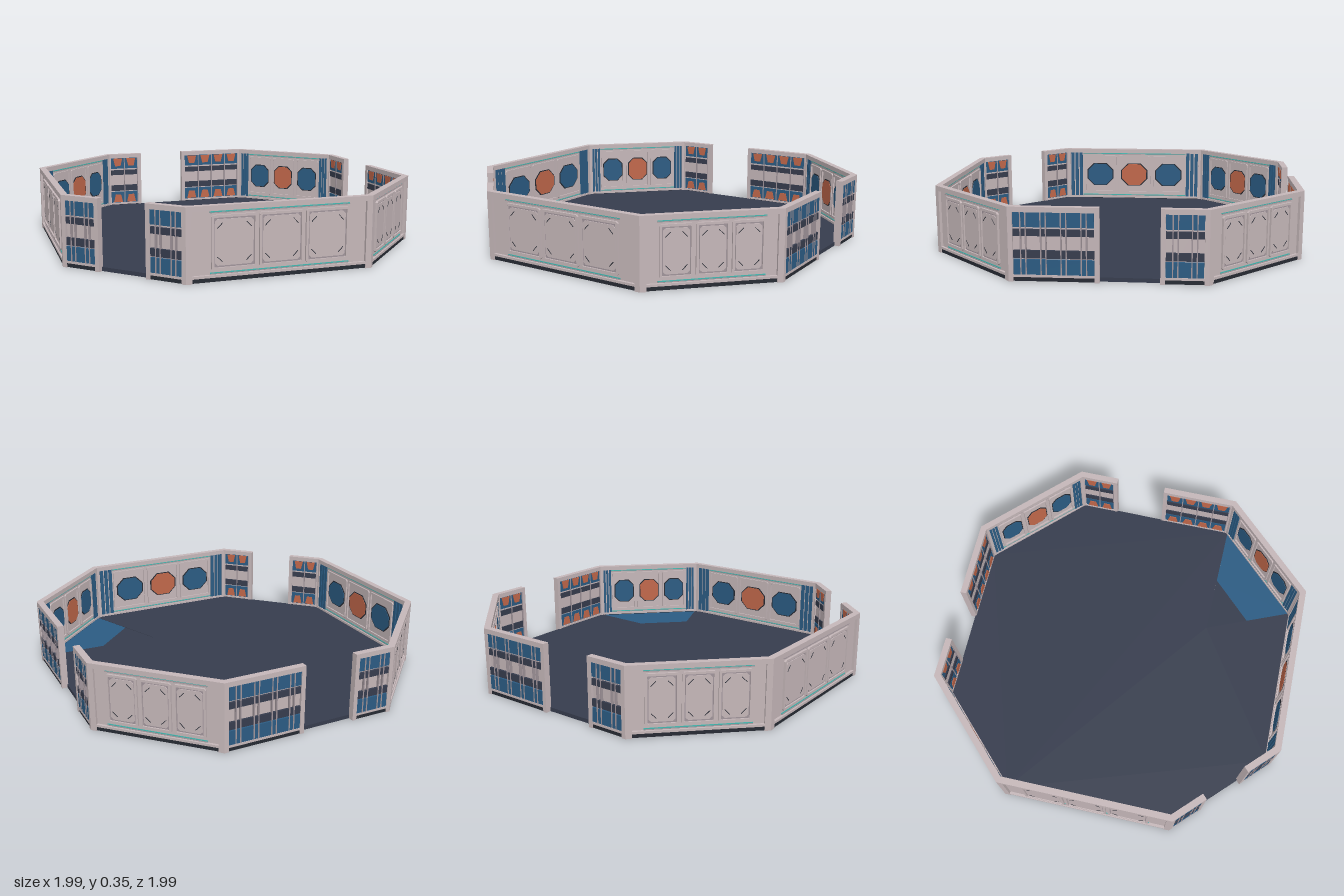
import * as THREE from 'three';

const mat = (name, color, side = THREE.FrontSide) => {
  const m = new THREE.MeshStandardMaterial({ color, side });
  m.name = name;
  return m;
};

export function createModel() {
  const M = {
    body: mat('pale grey', 0xc4b6b8),
    trim: mat('mid grey', 0xa0949a),
    blue: mat('blue', 0x2b5b82, THREE.DoubleSide),
    orange: mat('orange', 0xc0674a, THREE.DoubleSide),
    floor: mat('slate', 0x363c4d, THREE.DoubleSide),
    teal: mat('teal', 0x45b5ae),
    dark: mat('charcoal', 0x262a33),
  };
  const H = 0.355, APO = 0.995, HALF = 0.34;
  const DAPO = (APO + HALF) / Math.SQRT2, DHALF = (APO - HALF) / Math.SQRT2;
  const root = new THREE.Group();
  root.name = 'octagonalArena';

  const add = (g, geo, m, name) => {
    const mesh = new THREE.Mesh(geo, m);
    mesh.name = name;
    g.add(mesh);
    return mesh;
  };
  // box given by its limits on each axis
  const box = (g, m, name, x0, x1, y0, y1, z0, z1) =>
    add(g, new THREE.BoxGeometry(x1 - x0, y1 - y0, z1 - z0), m, name)
      .position.set((x0 + x1) / 2, (y0 + y1) / 2, (z0 + z1) / 2);

  // rectangle with clipped corners
  const clipped = (P, w, h, c) => {
    const a = w / 2, b = h / 2, s = new P();
    [[-a + c, -b], [a - c, -b], [a, -b + c], [a, b - c], [a - c, b], [-a + c, b], [-a, b - c], [-a, -b + c]]
      .forEach(([x, y], i) => (i ? s.lineTo(x, y) : s.moveTo(x, y)));
    s.closePath();
    return s;
  };
  const plate = (g, m, name, x, y, z, w, h, c, depth, rim = 0) => {
    const s = clipped(THREE.Shape, w, h, c);
    if (rim) s.holes.push(clipped(THREE.Path, w - 2 * rim, h - 2 * rim, Math.max(c - rim * 0.5, 0.001)));
    add(g, new THREE.ExtrudeGeometry(s, { depth, bevelEnabled: false }), m, name).position.set(x, y, z);
  };

  // wall shell shared by panelled walls and gate pieces; local +z is outward
  const shell = (g, a, b, post) => {
    box(g, M.body, 'endPost', a, a + post, 0, H, -0.034, 0);
    box(g, M.body, 'endPost', b - post, b, 0, H, -0.034, 0);
    box(g, M.body, 'topRail', a, b, 0.33, H, -0.034, 0);
    box(g, M.body, 'bottomSill', a, b, 0.022, 0.034, -0.034, 0);
    box(g, M.dark, 'baseStrip', a + post, b - post, 0.002, 0.022, -0.03, -0.004);
    box(g, M.body, 'wallCore', a + post, b - post, 0.034, 0.33, -0.024, -0.014);
  };

  const panelWall = (g, half) => {
    shell(g, -half, half, 0.03);
    const pitch = half * 0.5, span = pitch * 1.5;
    for (const y of [0.039, 0.322]) {
      box(g, M.teal, 'lightStrip', -span, span, y, y + 0.005, -0.027, -0.011);
      box(g, M.trim, 'ridge', -span, span, y - 0.003, y, -0.029, -0.007);
    }
    for (let i = -1; i <= 1; i++) {
      const x = i * pitch, w = pitch - 0.012;
      // outer frame and panel
      plate(g, M.body, 'outerFrame', x, 0.182, -0.014, w, 0.255, 0.008, 0.011, 0.012);
      plate(g, M.trim, 'outerGroove', x, 0.182, -0.014, w - 0.022, 0.233, 0.006, 0.003);
      plate(g, M.body, 'outerPanel', x, 0.182, -0.011, w - 0.034, 0.215, 0.012, 0.004);
      // short corner scores
      for (const sx of [-1, 1]) for (const sy of [-1, 1]) {
        const s = add(g, new THREE.BoxGeometry(0.003, 0.035, 0.002), M.dark, 'cornerScore');
        s.position.set(x + sx * (w / 2 - 0.04), 0.182 + sy * 0.078, -0.0065);
        s.rotation.z = sx * sy * Math.PI / 4;
      }
      // inner frame with octagonal plate
      plate(g, M.body, 'innerFrame', x, 0.182, -0.033, w, 0.255, 0.008, 0.009, 0.012);
      plate(g, M.dark, 'octagonRim', x, 0.182, -0.0275, pitch * 0.77, 0.152, pitch * 0.2, 0.004);
      plate(g, i ? M.blue : M.orange, 'octagonPlate', x, 0.182, -0.03, pitch * 0.71, 0.142, pitch * 0.185, 0.004);
    }
    // inner end stripes
    const room = half - 0.03 - span;
    for (const s of [-1, 1]) for (let j = 0; j < 3; j++) {
      const x = s * (span + room * (j + 0.5) / 3);
      box(g, M.blue, 'endStripe', x - room * 0.12, x + room * 0.12, 0.035, 0.33, -0.031, -0.023);
    }
  };

  const gatePiece = (g, a, b) => {
    shell(g, a, b, 0.022);
    const x0 = a + 0.024, x1 = b - 0.024, n = Math.max(2, Math.round((x1 - x0) / 0.085));
    // blue and dark bands on both sides
    for (const [y0, y1, m] of [[0.26, 0.335, M.blue], [0.218, 0.25, M.dark], [0.112, 0.15, M.dark], [0.03, 0.106, M.blue]]) {
      box(g, m === M.dark ? M.floor : m, 'outerBand', x0, x1, y0, y1, -0.016, -0.002);
      box(g, m === M.dark ? M.floor : m, 'innerBand', x0, x1, y0, y1, -0.03, -0.022);
    }
    const step = (x1 - x0) / n;
    for (let i = 0; i < n; i++) {
      const x = x0 + (i + 0.5) * step;
      // ribs
      for (const d of [-0.012, 0.012])
        box(g, M.trim, 'outerRib', x + d - 0.003, x + d + 0.003, 0.034, 0.33, -0.015, 0);
      box(g, M.trim, 'innerRib', x - step / 2 - 0.003, x - step / 2 + 0.003, 0.034, 0.33, -0.033, -0.023);
      // tapered orange blocks along top and bottom
      for (const s of [-1, 1]) {
        const shape = new THREE.Shape();
        const k = step * 0.34;
        [[-k, 0.025], [-k * 0.6, -0.025], [k * 0.6, -0.025], [k, 0.025]]
          .forEach(([px, py], j) => (j ? shape.lineTo(px, py) : shape.moveTo(px, py)));
        const t = add(g, new THREE.ExtrudeGeometry(shape, { depth: 0.006, bevelEnabled: false }), M.orange, 'taperBlock');
        t.position.set(x, 0.182 + s * 0.12, s > 0 ? -0.034 : -0.028);
        if (s < 0) { t.rotation.x = Math.PI; }
      }
    }
  };

  // eight sides, starting at the front and turning towards +x
  const names = ['frontGate', 'frontLeftWall', 'leftWall', 'backLeftGate', 'backWall', 'backRightGate', 'rightWall', 'frontRightWall'];
  names.forEach((name, k) => {
    const g = new THREE.Group(), t = k * Math.PI / 4, diag = k % 2;
    const r = diag ? DAPO : APO;
    g.name = name;
    g.position.set(Math.sin(t) * r, 0, Math.cos(t) * r);
    g.rotation.y = t;
    if (k === 0) {
      gatePiece(g, -HALF, -0.13);
      gatePiece(g, 0.13, HALF);
    } else if (k === 3 || k === 5) {
      gatePiece(g, -DHALF, -0.04);
      gatePiece(g, 0.24, DHALF);
    } else panelWall(g, diag ? DHALF : HALF);
    root.add(g);
  });

  // floor slab with a notch on the +x side
  const A = [0.97, -0.32], B = [0.97, 0.32], C = [0.5, 0.13];
  const slab = new THREE.Shape([[-0.33, -0.97], [0.33, -0.97], A, C, B, [0.33, 0.97], [-0.33, 0.97], [-0.97, 0.32], [-0.97, -0.32]]
    .map(([x, z]) => new THREE.Vector2(x, z)));
  const fg = new THREE.ExtrudeGeometry(slab, { depth: 0.02, bevelEnabled: false });
  fg.rotateX(Math.PI / 2).translate(0, 0.02, 0);
  add(root, fg, M.floor, 'floor');

  // thin sheet closing the notch, its normals turned downward
  const sheet = (pts, y, m, name) => {
    const geo = new THREE.ShapeGeometry(new THREE.Shape(pts.map(([x, z]) => new THREE.Vector2(x, -z))));
    geo.rotateX(-Math.PI / 2).translate(0, y, 0);
    const n = geo.attributes.normal;
    for (let i = 0; i < n.count; i++) n.setXYZ(i, 0, -1, 0);
    add(root, geo, m, name);
  };
  sheet([A, B, [0.73, 0.223], [0.73, -0.09]], 0.018, M.blue, 'notchOuterSheet');
  sheet([[0.73, -0.09], [0.73, 0.223], C], 0.018, M.floor, 'notchInnerSheet');
  sheet([A, [0.91, 0.08], [0.73, 0.223]], 0.006, M.orange, 'notchLowerWedge');
  sheet([A, [0.91, 0.08], [0.73, 0.223]], 0.0075, M.blue, 'notchWedgeCover');
  return root;
}
